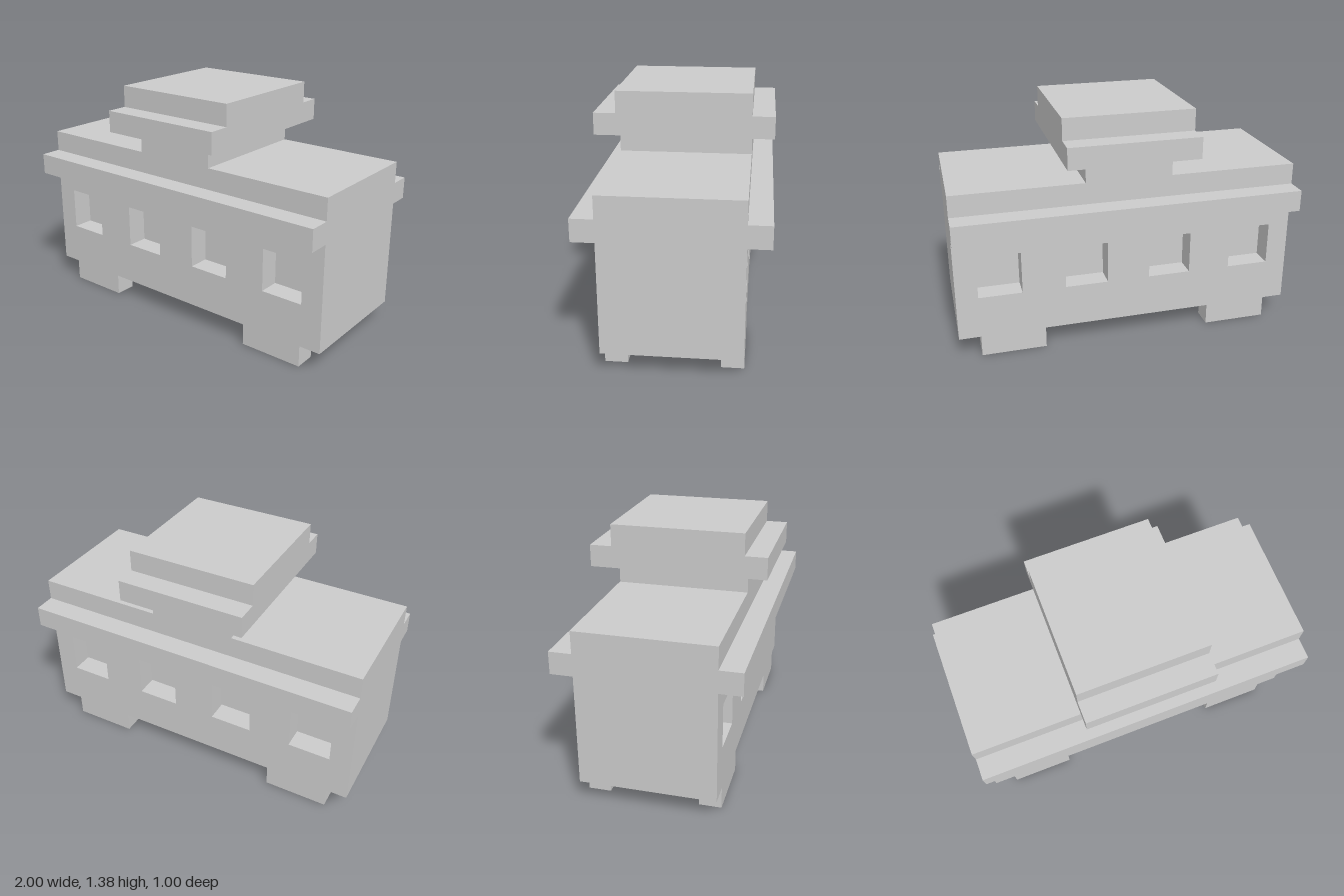
import * as THREE from 'three';

const material = new THREE.MeshStandardMaterial({ color: 0xcccccc, flatShading: true });

function addMesh(parent, name, geometry) {
  const mesh = new THREE.Mesh(geometry, material);
  mesh.name = name;
  parent.add(mesh);
  return mesh;
}

// Box given by its lower and upper corners
function addBox(parent, name, [x0, y0, z0], [x1, y1, z1]) {
  const mesh = addMesh(parent, name, new THREE.BoxGeometry(x1 - x0, y1 - y0, z1 - z0));
  mesh.position.set((x0 + x1) / 2, (y0 + y1) / 2, (z0 + z1) / 2);
  return mesh;
}

// Side wall outline with two feet along the bottom and four window openings
function sideWallGeometry() {
  const outline = [
    [-1, 0.125], [-0.875, 0.125], [-0.875, 0], [-0.5, 0], [-0.5, 0.125],
    [0.5, 0.125], [0.5, 0], [0.875, 0], [0.875, 0.125], [1, 0.125], [1, 1], [-1, 1],
  ];
  const shape = new THREE.Shape(outline.map(([x, y]) => new THREE.Vector2(x, y)));
  for (const x of [-0.75, -0.25, 0.25, 0.75]) {
    const corners = [[-1, -1], [-1, 1], [1, 1], [1, -1]];
    shape.holes.push(new THREE.Path(corners.map(
      ([u, v]) => new THREE.Vector2(x + u * 0.125, 0.5 + v * 0.125))));
  }
  return new THREE.ExtrudeGeometry(shape, { depth: 0.125, bevelEnabled: false });
}

// Roof lookout: a T-shaped section, wider at the eaves, run along x
function lookoutGeometry() {
  const half = [[0.5, 1.125], [0.5, 1.25], [0.375, 1.25], [0.375, 1.375]];
  const section = [...half, ...half.map(([z, y]) => [-z, y]).reverse()];
  const shape = new THREE.Shape(section.map(([z, y]) => new THREE.Vector2(z, y)));
  return new THREE.ExtrudeGeometry(shape, { depth: 0.75, bevelEnabled: false })
    .translate(0, 0, -0.375)
    .rotateY(Math.PI / 2);
}

export function createModel() {
  const model = new THREE.Group();
  model.name = 'railCar';

  // Solid core; its sides form the backs of the window recesses
  addBox(model, 'bodyCore', [-1, 0.125, -0.25], [1, 1, 0.25]);

  // Matching sides: wall with feet and windows, and a projecting eave
  for (const front of [true, false]) {
    const side = new THREE.Group();
    side.name = front ? 'frontSide' : 'backSide';
    if (!front) side.rotation.y = Math.PI;
    addMesh(side, 'sideWall', sideWallGeometry()).position.z = 0.25;
    addBox(side, 'eave', [-1, 0.75, 0.375], [1, 0.875, 0.5]);
    model.add(side);
  }

  // Raised lookout on a narrower neck
  addBox(model, 'lookoutNeck', [-0.25, 1, -0.375], [0.25, 1.125, 0.375]);
  addMesh(model, 'lookout', lookoutGeometry());

  return model;
}
